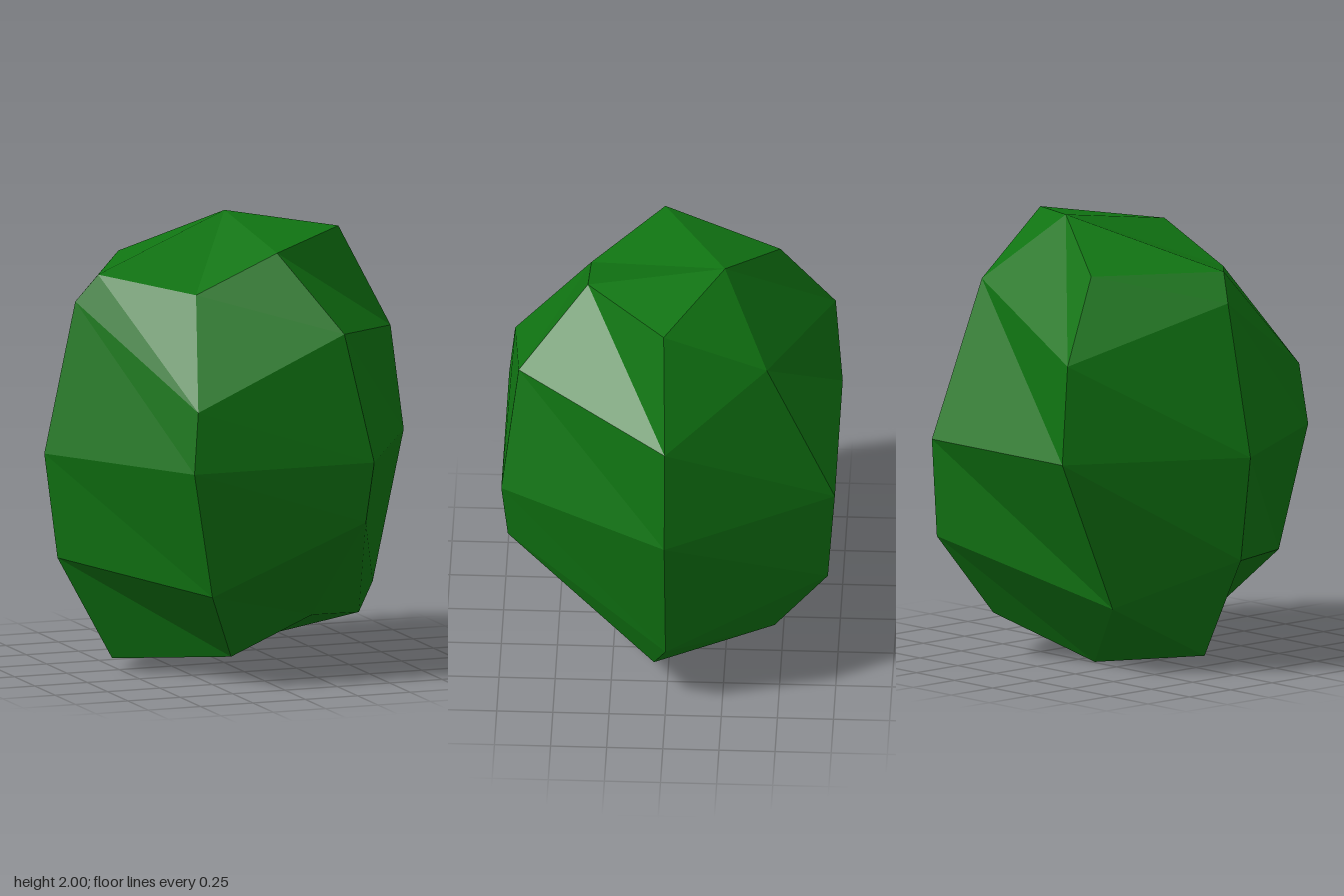
import * as THREE from 'three';
import { mergeGeometries } from 'three/addons/utils/BufferGeometryUtils.js';

// Three rings of six points: equator, shoulder and crown, running from +x towards +z
const equator = Array.from({ length: 6 }, (_, i) => {
  const a = (i * Math.PI) / 3;
  return [0.858 * Math.cos(a), 0, 0.858 * Math.sin(a)];
});
const shoulder = [
  [0.795, 0.475, 0], [0.315, 0.575, 0.67], [-0.4, 0.273, 0.715],
  [-0.71, 0.678, 0], [-0.43, 0.443, -0.712], [0.43, 0.69, -0.44],
];
const crown = [
  [0.54, 0.943, 0.015], [0.11, 0.905, 0.37], [-0.277, 0.74, 0.37],
  [-0.622, 0.803, 0.055], [-0.322, 0.805, -0.47], [0.095, 1, -0.24],
];

// Upper half: two bands of split quads and a fan from the highest crown point
function halfGeometry() {
  const points = [];
  for (const [low, high] of [[equator, shoulder], [shoulder, crown]]) {
    for (let i = 0; i < 6; i++) {
      const j = (i + 1) % 6;
      points.push(low[i], high[j], low[j], low[i], high[i], high[j]);
    }
  }
  for (let i = 0; i < 4; i++) points.push(crown[5], crown[i + 1], crown[i]);
  const geometry = new THREE.BufferGeometry();
  geometry.setAttribute('position', new THREE.Float32BufferAttribute(points.flat(), 3));
  return geometry;
}

export function createModel() {
  const group = new THREE.Group();
  group.name = 'facetedBush';
  const green = new THREE.MeshStandardMaterial({ color: 0x107412, flatShading: true });
  green.name = 'leaf green';

  // The lower half is the upper half turned over about the z axis
  const upper = halfGeometry();
  const lower = upper.clone().rotateZ(Math.PI);
  const geometry = mergeGeometries([upper, lower]);
  geometry.translate(0, 1, 0);
  geometry.computeVertexNormals();

  const foliage = new THREE.Mesh(geometry, green);
  foliage.name = 'foliage';
  group.add(foliage);
  return group;
}
